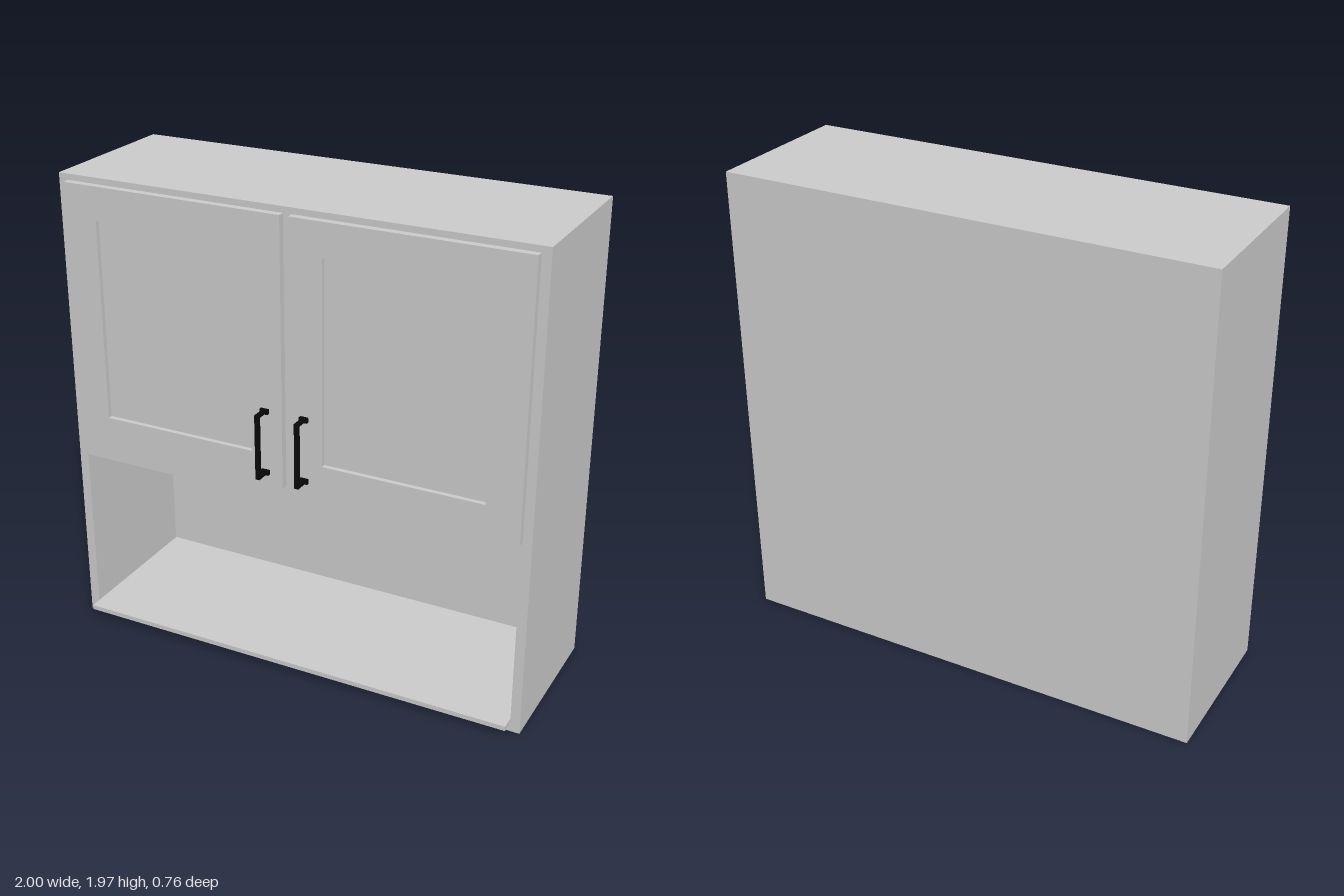
import * as THREE from 'three';

const grey = new THREE.MeshStandardMaterial({ color: 0xcccccc });
const black = new THREE.MeshStandardMaterial({ color: 0x080808 });

// Box given by its minimum and maximum corners
function box(name, [x0, y0, z0], [x1, y1, z1], material = grey) {
  const mesh = new THREE.Mesh(new THREE.BoxGeometry(x1 - x0, y1 - y0, z1 - z0), material);
  mesh.position.set((x0 + x1) / 2, (y0 + y1) / 2, (z0 + z1) / 2);
  mesh.name = name;
  return mesh;
}

function rectangle(PathType, x0, y0, x1, y1) {
  return new PathType([
    new THREE.Vector2(x0, y0), new THREE.Vector2(x1, y0),
    new THREE.Vector2(x1, y1), new THREE.Vector2(x0, y1),
  ]);
}

const W = 1, H = 1.97, BACK = -0.38, FRONT = 0.285;
const NICHE_X = 0.96, NICHE_BOTTOM = 0.03, NICHE_TOP = 0.765;
const DOOR_FRONT = 0.315;

// Shaker door: frame with a recessed centre panel
function createDoor(name, x0, x1, panelX0, panelX1) {
  const door = new THREE.Group();
  door.name = name;
  const outline = rectangle(THREE.Shape, x0, 0.84, x1, 1.945);
  outline.holes.push(rectangle(THREE.Path, panelX0, 0.975, panelX1, 1.81));
  const frame = new THREE.Mesh(
    new THREE.ExtrudeGeometry(outline, { depth: DOOR_FRONT - FRONT, bevelEnabled: false }), grey);
  frame.position.z = FRONT;
  frame.name = 'doorFrame';
  door.add(frame, box('doorPanel', [panelX0, 0.975, FRONT], [panelX1, 1.81, 0.295]));
  return door;
}

// Square bar pull with two posts and wider feet
function createHandle(name, x) {
  const handle = new THREE.Group();
  handle.name = name;
  const r = 0.009, low = 0.9, high = 1.16, out = 0.383;
  handle.add(box('handleBar', [x - r, low - 0.006, out - 0.014], [x + r, high + 0.006, out], black));
  for (const y of [low, high]) {
    handle.add(
      box('handlePost', [x - r, y - 0.006, DOOR_FRONT], [x + r, y + 0.006, out - 0.014], black),
      box('handleFoot', [x - 0.017, y - 0.01, DOOR_FRONT], [x + 0.017, y + 0.01, 0.328], black));
  }
  return handle;
}

export function createModel() {
  const model = new THREE.Group();
  model.name = 'wallCabinet';

  // Case: closed upper compartment over an open niche
  model.add(
    box('upperCase', [-W, NICHE_TOP, BACK], [W, H, FRONT]),
    box('bottomBoard', [-W, 0, BACK], [W, NICHE_BOTTOM, FRONT]),
    box('backBoard', [-NICHE_X, NICHE_BOTTOM, BACK], [NICHE_X, NICHE_TOP, -0.345]));
  for (const [name, s] of [['leftSide', 1], ['rightSide', -1]]) {
    const [a, b] = s > 0 ? [NICHE_X, W] : [-W, -NICHE_X];
    model.add(box(name, [a, NICHE_BOTTOM, BACK], [b, NICHE_TOP, FRONT]));
  }

  // Niche shelf, with its front edge projecting
  model.add(box('nicheShelf', [-0.959, NICHE_BOTTOM, -0.345], [0.957, 0.05, 0.333]));

  // Doors and pulls
  model.add(
    createDoor('rightDoor', -0.96, -0.015, -0.82, -0.15),
    createDoor('leftDoor', 0.02, 0.963, 0.157, 0.823),
    createHandle('rightHandle', -0.088),
    createHandle('leftHandle', 0.082));

  return model;
}
